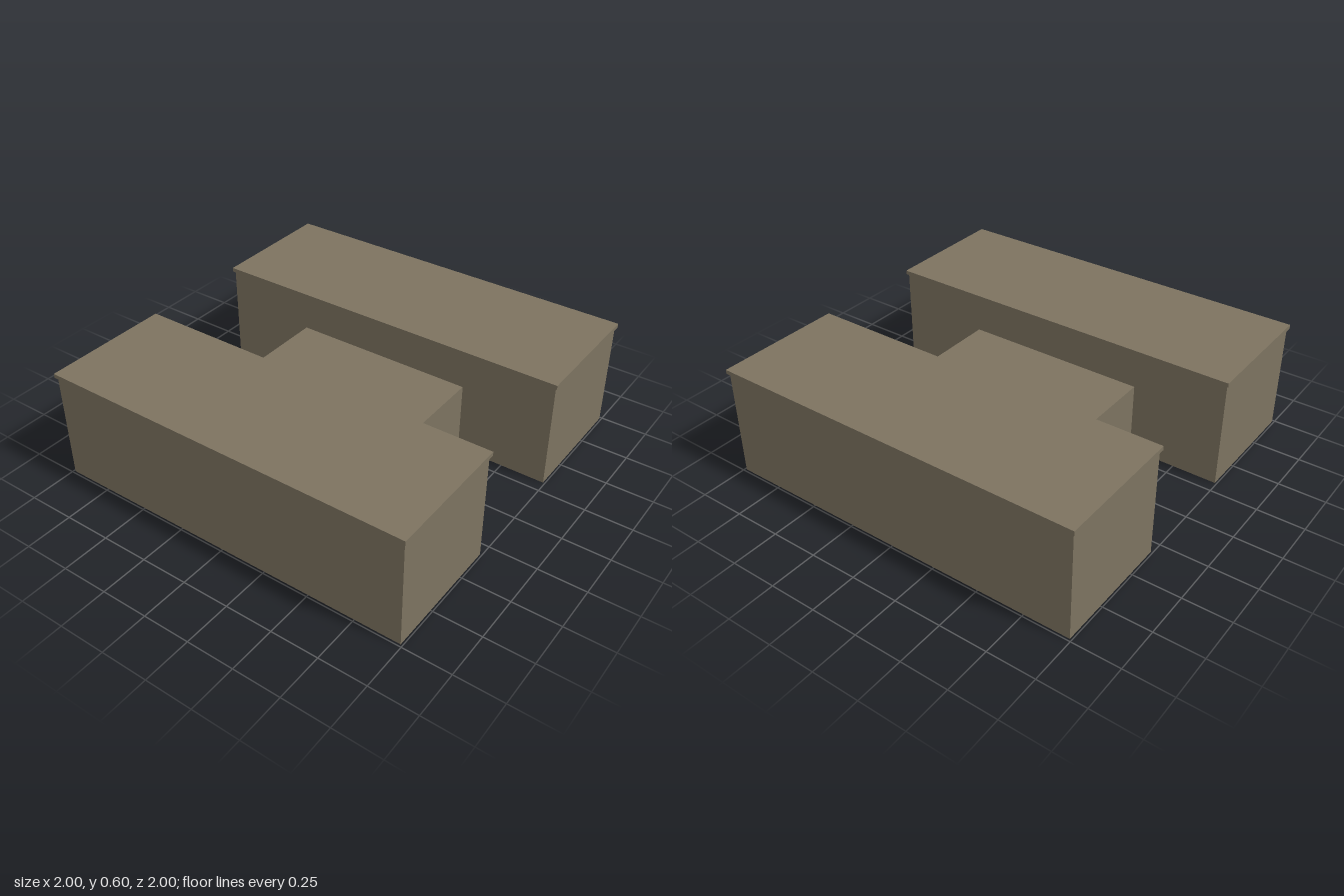
import * as THREE from 'three';

const stone = new THREE.MeshStandardMaterial({ color: 0x7d7360, side: THREE.DoubleSide });
stone.name = 'taupe stone';

// Box face order: +x, -x, +y, -y, +z, -z
const WALLS = [0, 1, 4, 5];
const ROOF_AND_ENDS = [2, 4, 5];

// Thin shell that keeps only the listed faces of a box
function shell(width, height, depth, faces) {
  const geometry = new THREE.BoxGeometry(width, height, depth);
  const index = Array.from(geometry.index.array);
  geometry.setIndex(faces.flatMap((f) => index.slice(f * 6, f * 6 + 6)));
  geometry.clearGroups();
  return geometry;
}

function addPart(parent, name, geometry, x, y) {
  const mesh = new THREE.Mesh(geometry, stone);
  mesh.name = name;
  mesh.position.set(x, y, 0);
  parent.add(mesh);
}

export function createModel() {
  const model = new THREE.Group();
  model.name = 'hShapedBuilding';

  // Two long wings, open underneath, each with an overhanging roof slab
  for (const [side, label] of [[1, 'left'], [-1, 'right']]) {
    const wing = new THREE.Group();
    wing.name = label + 'Wing';
    addPart(wing, label + 'WingWalls', shell(0.67, 0.58, 1.98, WALLS), side * 0.653, 0.29);
    addPart(wing, label + 'WingRoof', new THREE.BoxGeometry(0.693, 0.022, 2), side * 0.6535, 0.589);
    model.add(wing);
  }

  // Lower link between the wings, open underneath
  addPart(model, 'centralLink', shell(0.636, 0.385, 0.99, ROOF_AND_ENDS), 0, 0.1925);

  return model;
}
